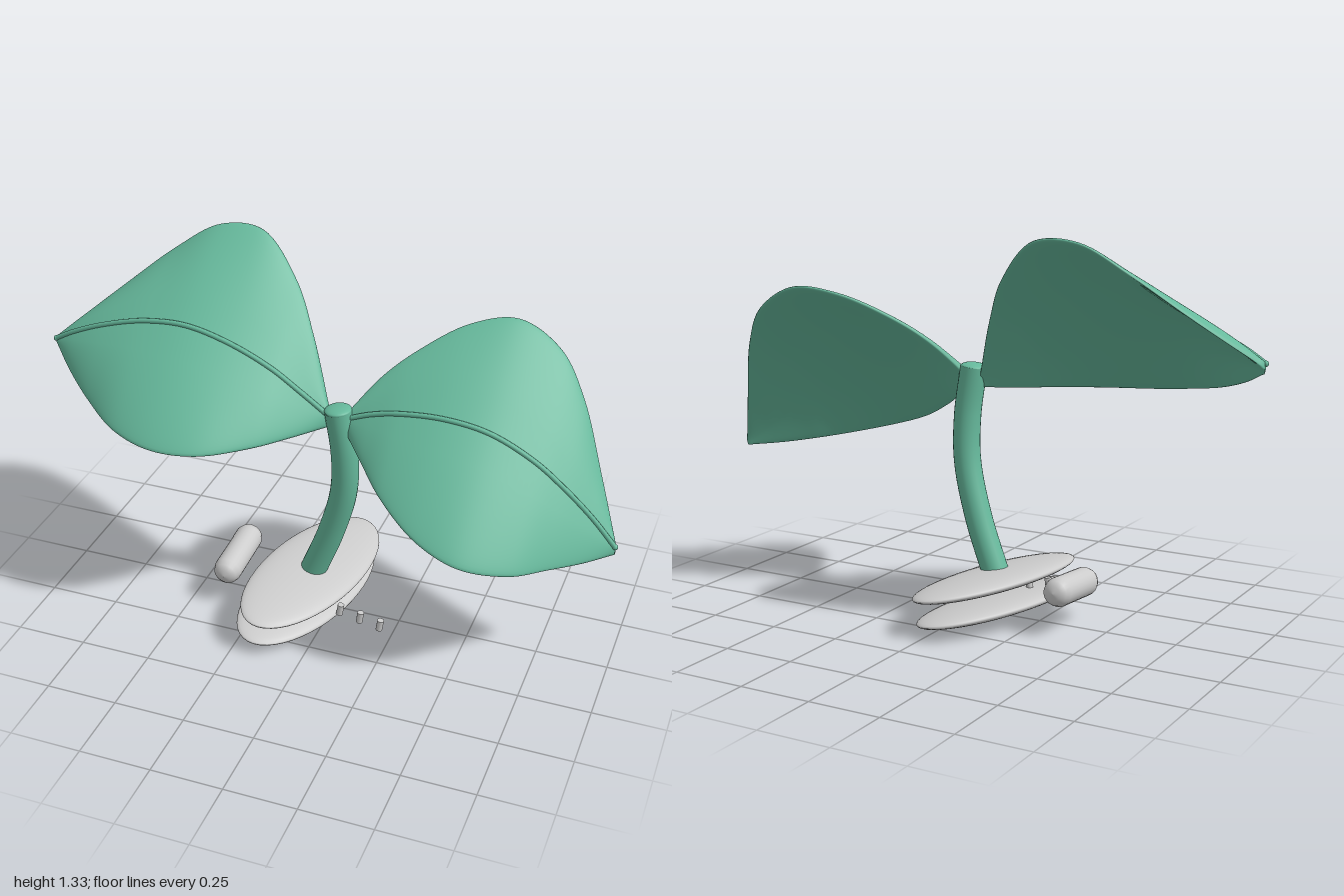
import * as THREE from 'three';

const green = new THREE.MeshStandardMaterial({ color: 0x66b99c });
const grey = new THREE.MeshStandardMaterial({ color: 0xcccccc });
const V = (x, y, z) => new THREE.Vector3(x, y, z);
const leafNormal = V(0, 0.76, 0.65);

function add(parent, name, geometry, material) {
  const mesh = new THREE.Mesh(geometry, material);
  mesh.name = name;
  parent.add(mesh);
  return mesh;
}

// Leaf stations, x ascending: x, upper edge y z, midrib y z, lower edge y z
const rightLeaf = [
  [-1, 0.945, 0.04, 0.935, 0.05, 0.92, 0.055],
  [-0.92, 1.01, -0.03, 0.98, 0.06, 0.875, 0.13],
  [-0.8, 1.11, -0.12, 1.03, 0.065, 0.83, 0.23],
  [-0.65, 1.23, -0.205, 1.07, 0.065, 0.795, 0.335],
  [-0.5, 1.32, -0.252, 1.08, 0.065, 0.775, 0.375],
  [-0.35, 1.32, -0.26, 1.045, 0.065, 0.77, 0.35],
  [-0.2, 1.19, -0.185, 0.975, 0.06, 0.775, 0.25],
  [-0.1, 1.04, -0.085, 0.9, 0.05, 0.78, 0.15],
  [0, 0.83, 0.03, 0.82, 0.04, 0.79, 0.05],
];
const leftLeaf = [
  [0.06, 0.84, 0.03, 0.82, 0.04, 0.78, 0.05],
  [0.15, 0.95, -0.06, 0.855, 0.04, 0.73, 0.145],
  [0.25, 1.03, -0.135, 0.88, 0.045, 0.675, 0.245],
  [0.4, 1.11, -0.23, 0.89, 0.045, 0.6, 0.335],
  [0.55, 1.13, -0.28, 0.865, 0.04, 0.55, 0.36],
  [0.7, 1.05, -0.265, 0.79, 0.035, 0.515, 0.295],
  [0.8, 0.92, -0.2, 0.71, 0.03, 0.5, 0.2],
  [0.9, 0.71, -0.09, 0.61, 0.02, 0.49, 0.105],
  [0.985, 0.52, 0.01, 0.51, 0.015, 0.49, 0.02],
];

// Thin blade with rounded rim, lofted through three guide curves, plus its midrib
function makeLeaf(name, rows) {
  const group = new THREE.Group();
  group.name = name;
  const [upper, middle, lower] = [1, 3, 5].map(
    (k) => new THREE.CatmullRomCurve3(rows.map((r) => V(r[0], r[k], r[k + 1]))));
  const along = 64, around = 48, thick = 0.014;
  const power = (v, p) => Math.sign(v) * Math.abs(v) ** p;
  const pos = [], index = [];
  for (let i = -1; i <= along + 1; i++) {
    const t = Math.min(Math.max(i / along, 0), 1);
    const closed = i < 0 || i > along; // end rings shrink to a point
    const u = upper.getPoint(t), m = middle.getPoint(t), l = lower.getPoint(t);
    const slope = u.clone().sub(l).multiplyScalar(0.5);
    const bend = u.clone().add(l).multiplyScalar(0.5).sub(m);
    for (let j = 0; j < around; j++) {
      const a = (j / around) * Math.PI * 2;
      const s = closed ? 0 : power(Math.cos(a), 0.6);
      const d = closed ? 0 : thick * power(Math.sin(a), 0.6);
      const p = m.clone().addScaledVector(slope, s).addScaledVector(bend, s * s)
        .addScaledVector(leafNormal, d);
      pos.push(p.x, p.y, p.z);
    }
  }
  for (let i = 0; i < along + 2; i++) {
    for (let j = 0; j < around; j++) {
      const a = i * around + j, b = i * around + (j + 1) % around;
      index.push(a, b, a + around, b, b + around, a + around);
    }
  }
  const blade = new THREE.BufferGeometry();
  blade.setAttribute('position', new THREE.Float32BufferAttribute(pos, 3));
  blade.setIndex(index);
  blade.computeVertexNormals();
  add(group, 'leafBlade', blade, green);

  const path = new THREE.CatmullRomCurve3(
    rows.map((r) => V(r[0], r[3], r[4]).addScaledVector(leafNormal, thick)));
  add(group, 'midrib', new THREE.TubeGeometry(path, 60, 0.009, 8), green);
  for (const t of [0, 1]) {
    add(group, 'midribEnd', new THREE.SphereGeometry(0.01, 10, 8), green).position.copy(path.getPoint(t));
  }
  return group;
}

export function createModel() {
  const model = new THREE.Group();
  model.name = 'sprout';

  // Curved stem with a low rounded top
  const stemPath = new THREE.CatmullRomCurve3([
    V(-0.078, 0.15, 0), V(-0.005, 0.34, 0.008), V(0.046, 0.53, 0.022),
    V(0.052, 0.69, 0.034), V(0.032, 0.855, 0.043)]);
  add(model, 'stem', new THREE.TubeGeometry(stemPath, 40, 0.047, 24), green);
  const top = add(model, 'stemTop', new THREE.SphereGeometry(0.047, 24, 12), green);
  top.scale.y = 0.3;
  top.position.copy(stemPath.getPoint(1));
  top.rotation.z = 0.1;

  model.add(makeLeaf('rightLeaf', rightLeaf), makeLeaf('leftLeaf', leftLeaf));

  // Two stacked, tilted oval discs
  const tilt = new THREE.Quaternion().setFromUnitVectors(V(0, 1, 0), V(0.15, 1, 0.03).normalize());
  const turn = new THREE.Quaternion().setFromAxisAngle(V(0, 1, 0), -0.222);
  for (const [name, x, y, z] of [['upperDisc', -0.085, 0.137, -0.01], ['lowerDisc', -0.104, 0.055, -0.015]]) {
    const disc = add(model, name, new THREE.SphereGeometry(1, 48, 24), grey);
    disc.scale.set(0.165, 0.033, 0.378);
    disc.quaternion.copy(tilt).multiply(turn);
    disc.position.set(x, y, z);
  }

  // Round-ended bar beside the discs
  const profile = [[0, -0.14], [0.025, -0.136], [0.042, -0.122], [0.05, -0.1],
    [0.05, 0.1], [0.042, 0.122], [0.025, 0.136], [0, 0.14]].map((p) => new THREE.Vector2(...p));
  const bar = add(model, 'sideBar', new THREE.LatheGeometry(profile, 24), grey);
  bar.position.set(-0.37, 0.146, -0.004);
  bar.rotation.x = Math.PI / 2 + 0.08;

  // Descending row of small pegs
  for (let i = 0; i < 7; i++) {
    const peg = add(model, 'peg', new THREE.CylinderGeometry(0.012, 0.012, 0.042, 12), grey);
    peg.position.set(-0.245 + i * 0.0745, 0.117 - i * 0.0148, 0.074);
    peg.rotation.z = -0.15;
  }
  return model;
}
